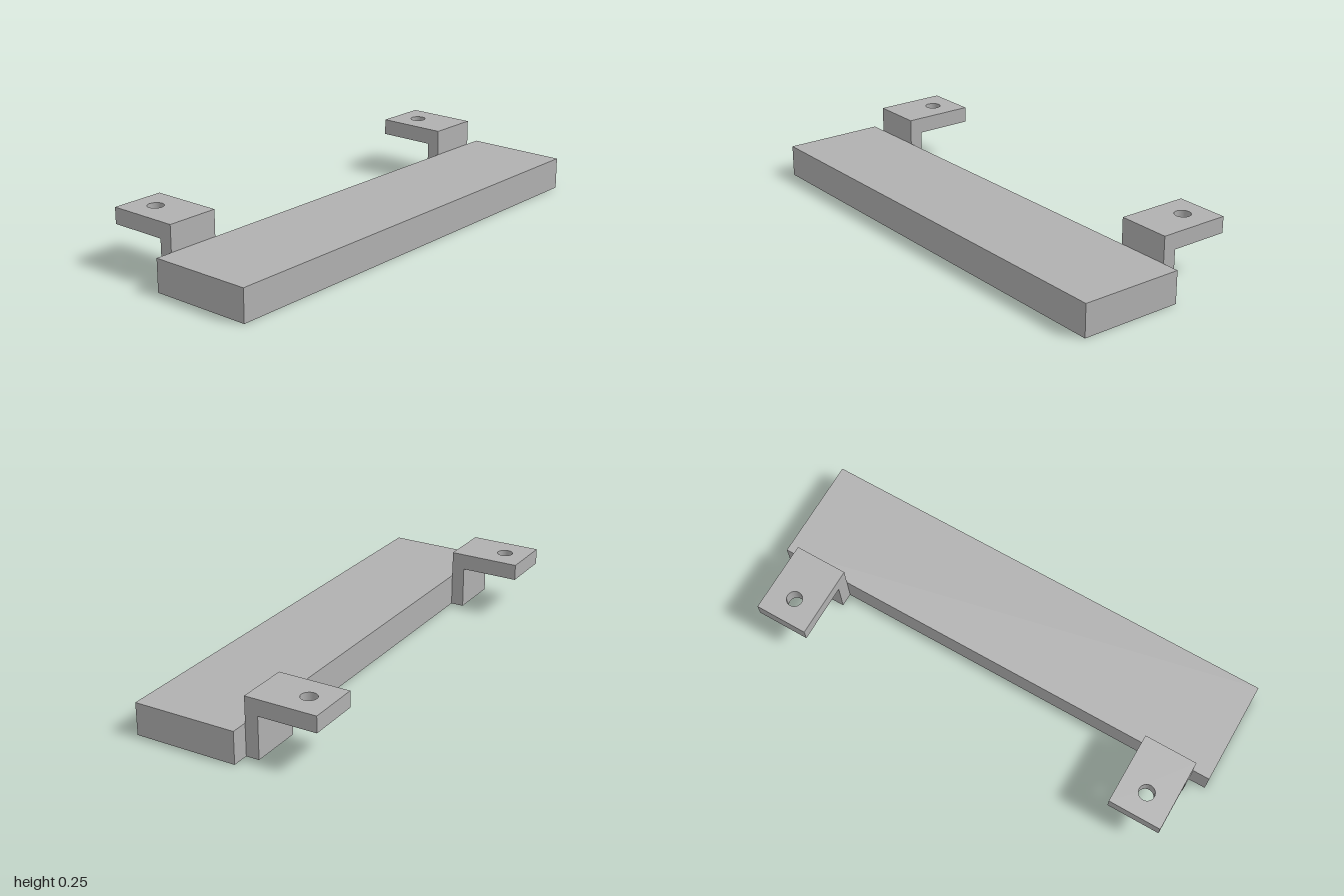
import * as THREE from 'three';

const HOLE_R = 0.033;

// Horizontal plate from y0 to y1 with round vertical holes at [x, z]
function drilledPlate(x0, x1, z0, z1, y0, y1, holes) {
  const s = new THREE.Shape();
  s.moveTo(x0, -z1);
  s.lineTo(x1, -z1);
  s.lineTo(x1, -z0);
  s.lineTo(x0, -z0);
  s.closePath();
  for (const [x, z] of holes) {
    const h = new THREE.Path();
    h.absarc(x, -z, HOLE_R, 0, Math.PI * 2, true);
    s.holes.push(h);
  }
  const g = new THREE.ExtrudeGeometry(s, { depth: y1 - y0, bevelEnabled: false, curveSegments: 32 });
  g.rotateX(-Math.PI / 2);
  g.translate(0, y0, 0);
  return g;
}

function block(x0, x1, y0, y1, z0, z1) {
  const g = new THREE.BoxGeometry(x1 - x0, y1 - y0, z1 - z0);
  g.translate((x0 + x1) / 2, (y0 + y1) / 2, (z0 + z1) / 2);
  return g;
}

export function createModel() {
  const model = new THREE.Group();
  model.name = 'mountingBar';
  const grey = new THREE.MeshStandardMaterial({ color: 0xb0b0b0 });
  grey.name = 'grey';

  const add = (parent, name, geometry) => {
    const m = new THREE.Mesh(geometry, grey);
    m.name = name;
    parent.add(m);
  };

  // Main bar: drilled lower layer closed by a solid upper layer (blind holes)
  const bar = new THREE.Group();
  bar.name = 'bar';
  const sockets = [-0.96, -0.735, 0.735, 0.96].map((x) => [x, 0.21]);
  add(bar, 'barLower', drilledPlate(-1, 1, -0.068, 0.373, 0, 0.1, sockets));
  add(bar, 'barUpper', block(-1, 1, 0.1, 0.136, -0.068, 0.373));
  model.add(bar);

  // Two stepped brackets behind the bar
  for (const [name, cx] of [['rightBracket', -0.814], ['leftBracket', 0.814]]) {
    const bracket = new THREE.Group();
    bracket.name = name;
    const x0 = cx - 0.113, x1 = cx + 0.113;
    add(bracket, 'leg', block(x0, x1, 0, 0.178, -0.124, -0.068));
    add(bracket, 'arm', drilledPlate(x0, x1, -0.373, -0.068, 0.178, 0.246, [[cx, -0.27]]));
    model.add(bracket);
  }
  return model;
}
